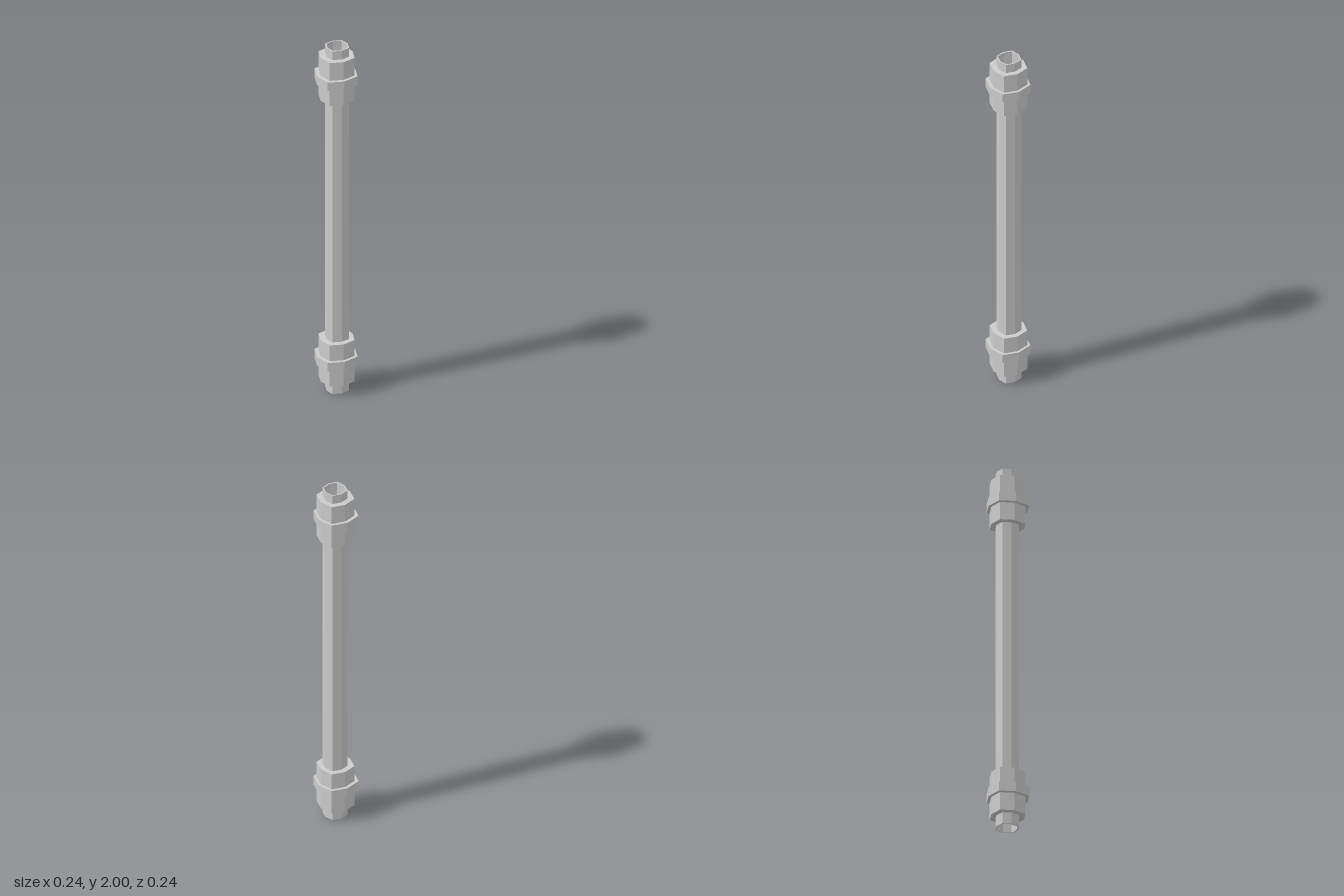
import * as THREE from 'three';

const material = new THREE.MeshStandardMaterial({ color: 0xcccccc, flatShading: true });

// Slightly pointed octagon: corners on the axes at r, diagonal corners pulled in
function octagon(r, cx, cz) {
  const points = [];
  for (let i = 0; i < 8; i++) {
    const a = (i * Math.PI) / 4;
    const d = i % 2 ? r * 0.905 : r;
    points.push(new THREE.Vector2(cx + d * Math.cos(a), -cz + d * Math.sin(a)));
  }
  return points;
}

// Upright octagonal ring between two heights; outer and inner are [radius, x, z]
function ring(name, outer, inner, y0, y1) {
  const shape = new THREE.Shape(octagon(...outer));
  shape.holes.push(new THREE.Path(octagon(...inner)));
  const geometry = new THREE.ExtrudeGeometry(shape, { depth: y1 - y0, bevelEnabled: false });
  geometry.rotateX(-Math.PI / 2);
  geometry.translate(0, y0, 0);
  const mesh = new THREE.Mesh(geometry, material);
  mesh.name = name;
  return mesh;
}

export function createModel() {
  const model = new THREE.Group();
  model.name = 'pipe';

  const tube = [0.066, 0.004, -0.006];
  const bore = [0.059, 0.004, -0.007];
  const fit = [0.064, 0.004, -0.006];
  const sleeve = [0.099, 0.002, -0.003];
  const flange = [0.118, 0, 0];

  // Hollow pipe, open at both ends
  model.add(ring('pipeTube', tube, bore, 0, 2));

  // Coupling at each end: a sleeve with a raised flange around it
  const couplings = [
    ['lower', 0.062, 0.302, 0.16, 0.21],
    ['upper', 1.7, 1.95, 1.797, 1.847],
  ];
  for (const [end, s0, s1, f0, f1] of couplings) {
    const coupling = new THREE.Group();
    coupling.name = end + 'Coupling';
    coupling.add(ring(end + 'Sleeve', sleeve, fit, s0, s1));
    coupling.add(ring(end + 'Flange', flange, [0.097, 0.002, -0.003], f0, f1));
    model.add(coupling);
  }

  return model;
}
